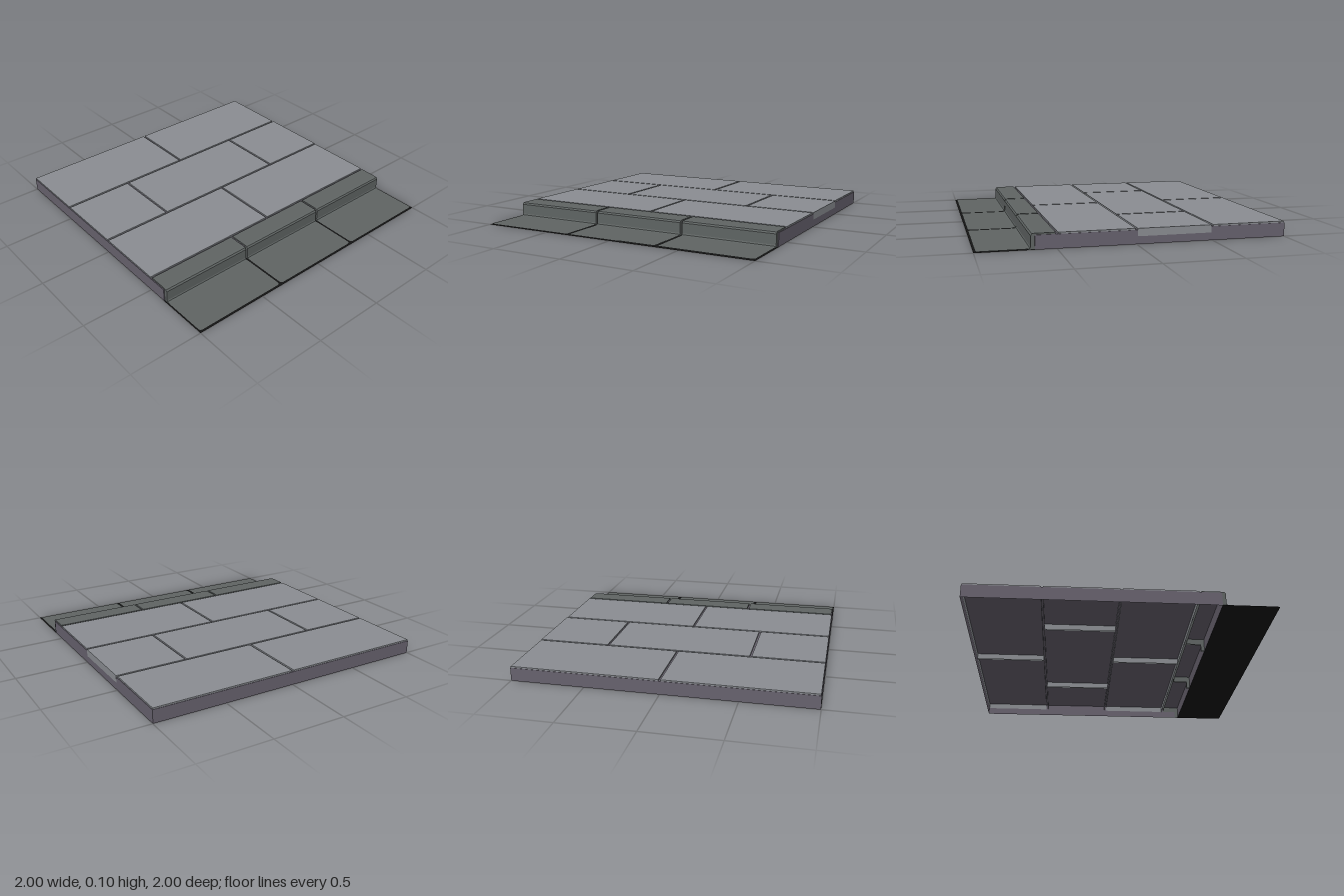
import * as THREE from 'three';

const mat = (color) => new THREE.MeshStandardMaterial({ color, side: THREE.DoubleSide, flatShading: true });

// Box between two corners with its underside left open
function openBox(x0, x1, y0, y1, z0, z1) {
  const geo = new THREE.BoxGeometry(x1 - x0, y1 - y0, z1 - z0);
  const idx = Array.from(geo.index.array);
  idx.splice(18, 6);
  geo.setIndex(idx);
  geo.clearGroups();
  geo.translate((x0 + x1) / 2, (y0 + y1) / 2, (z0 + z1) / 2);
  return geo;
}

// Kerb outline as [z, y, inset of the ends], from the hidden back lip to the apron's front edge
const KERB = [
  [0.507, 0.05, 0], [0.507, 0.1, 0], [0.637, 0.1, 0], [0.652, 0.097, 0], [0.66, 0.086, 0],
  [0.66, 0.018, 0], [0.664, 0.009, 0], [0.675, 0.005, 0],
  [0.97, 0.005, 0], [0.982, 0.005, 0.004], [0.988, 0.005, 0.016],
];

// Sheet swept across x along the kerb outline
function kerbSheet(width) {
  const pos = [], idx = [];
  KERB.forEach(([z, y, inset], i) => {
    const h = width / 2 - inset;
    pos.push(-h, y, z, h, y, z);
    if (i > 0) {
      const a = 2 * (i - 1);
      idx.push(a, a + 2, a + 1, a + 1, a + 2, a + 3);
    }
  });
  const indexed = new THREE.BufferGeometry();
  indexed.setAttribute('position', new THREE.Float32BufferAttribute(pos, 3));
  indexed.setIndex(idx);
  const geo = indexed.toNonIndexed();
  geo.computeVertexNormals();
  return geo;
}

// Wall closing the end of a kerb stone
function kerbEnd(x) {
  const pts = KERB.slice(0, 8).map(([z, y]) => new THREE.Vector2(z, y));
  pts.push(new THREE.Vector2(0.675, 0), new THREE.Vector2(0.61, 0), new THREE.Vector2(0.61, 0.05));
  const geo = new THREE.ShapeGeometry(new THREE.Shape(pts));
  geo.rotateY(-Math.PI / 2);
  geo.translate(x, 0, 0);
  return geo;
}

export function createModel() {
  const model = new THREE.Group();
  model.name = 'pavementTile';
  const slabMat = mat(0x8a8d92), baseMat = mat(0x67626e), kerbMat = mat(0x5f6463), gutterMat = mat(0x141414);

  const add = (parent, name, geo, material) => {
    const mesh = new THREE.Mesh(geo, material);
    mesh.name = name;
    parent.add(mesh);
    return mesh;
  };

  // Mortar base, hollow underneath
  add(model, 'base', openBox(-0.999, 0.999, 0, 0.09, -1, 0.635), baseMat);

  // Paving slabs in running bond
  const slabs = new THREE.Group();
  slabs.name = 'slabs';
  model.add(slabs);
  const gap = 0.007;
  const rows = [
    { z: -1, cuts: [-1, 0, 1] },
    { z: -0.5, cuts: [-1, -0.5, 0.5, 1] },
    { z: 0, cuts: [-1, 0, 1] },
  ];
  rows.forEach(({ z, cuts }, r) => {
    for (let i = 0; i < cuts.length - 1; i++) {
      const x0 = i === 0 ? -0.996 : cuts[i] + gap;
      const last = i === cuts.length - 2;
      const x1 = last ? (r === 1 ? 1 : 0.996) : cuts[i + 1] - gap;
      const z0 = r === 0 ? -0.997 : z + gap;
      add(slabs, 'slab', openBox(x0, x1, 0.05, 0.1, z0, z + 0.5 - gap), slabMat);
    }
  });

  // Three kerb stones with their flat aprons
  const pitch = 2 / 3, width = pitch - 0.014;
  for (let i = -1; i <= 1; i++) {
    const kerb = new THREE.Group();
    kerb.name = 'kerbStone';
    kerb.position.x = i * pitch;
    add(kerb, 'kerbSurface', kerbSheet(width), kerbMat);
    for (const s of [-1, 1]) add(kerb, 'kerbEnd', kerbEnd(s * width / 2), kerbMat);
    model.add(kerb);
  }

  // Dark gutter sheet below the aprons
  const gutter = new THREE.PlaneGeometry(2, 0.365);
  gutter.rotateX(-Math.PI / 2);
  gutter.translate(0, 0, 0.8175);
  add(model, 'gutter', gutter, gutterMat);

  return model;
}
